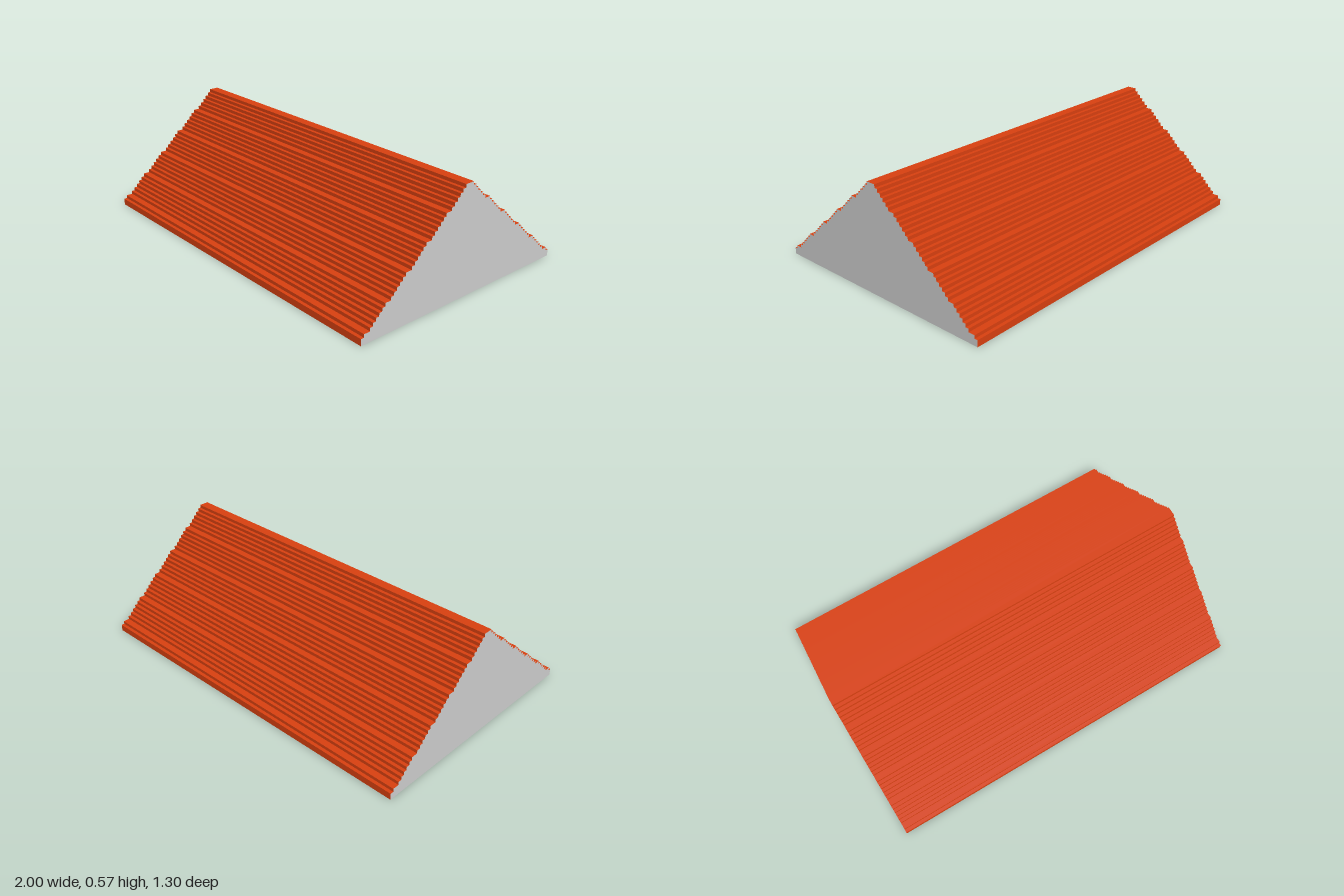
import * as THREE from 'three';

const U = 2 / 115; // size of one small step
const HALF_LENGTH = 1;

// Half of the stepped gable outline as [z, y], from the eave up to the ridge
function steppedSlope() {
  let z = 37.5, y = 2;
  const points = [[z, 0], [z, y]];
  const step = (tread) => {
    z -= tread;
    points.push([z, y]);
    y += 1;
    points.push([z, y]);
  };
  step(1);
  // Each course: one wide tread, then five narrow ones
  for (let course = 0; course < 5; course++) {
    for (let i = 0; i < 6; i++) step(i === 0 ? 2 : 1);
  }
  return points.map(([pz, py]) => [pz * U, py * U]);
}

export function createModel() {
  const group = new THREE.Group();
  const tileMaterial = new THREE.MeshStandardMaterial({ color: 0xd84010 });
  const wallMaterial = new THREE.MeshStandardMaterial({ color: 0xcccccc });

  const add = (name, geometry, material) => {
    const mesh = new THREE.Mesh(geometry, material);
    mesh.name = name;
    group.add(mesh);
    return mesh;
  };

  const half = steppedSlope();
  const outline = [...half, ...half.map(([z, y]) => [-z, y]).reverse()];

  // Stepped roof covering: the outline swept along x, one flat quad per edge
  const positions = [];
  for (let i = 0; i < outline.length - 1; i++) {
    const [z0, y0] = outline[i], [z1, y1] = outline[i + 1];
    const a = [-HALF_LENGTH, y0, z0], b = [HALF_LENGTH, y0, z0];
    const c = [HALF_LENGTH, y1, z1], d = [-HALF_LENGTH, y1, z1];
    positions.push(...a, ...b, ...c, ...a, ...c, ...d);
  }
  const covering = new THREE.BufferGeometry();
  covering.setAttribute('position', new THREE.Float32BufferAttribute(positions, 3));
  covering.computeVertexNormals();
  add('roofCovering', covering, tileMaterial);

  // Gable walls closing both ends
  const gable = new THREE.ShapeGeometry(
    new THREE.Shape(outline.map(([z, y]) => new THREE.Vector2(z, y))));
  for (const [name, side] of [['leftGable', 1], ['rightGable', -1]]) {
    const mesh = add(name, gable, wallMaterial);
    mesh.rotation.y = side * Math.PI / 2;
    mesh.position.x = side * HALF_LENGTH;
  }

  // Flat underside
  const underside = new THREE.PlaneGeometry(2 * HALF_LENGTH, 75 * U);
  add('underside', underside, wallMaterial).rotation.x = Math.PI / 2;

  return group;
}
